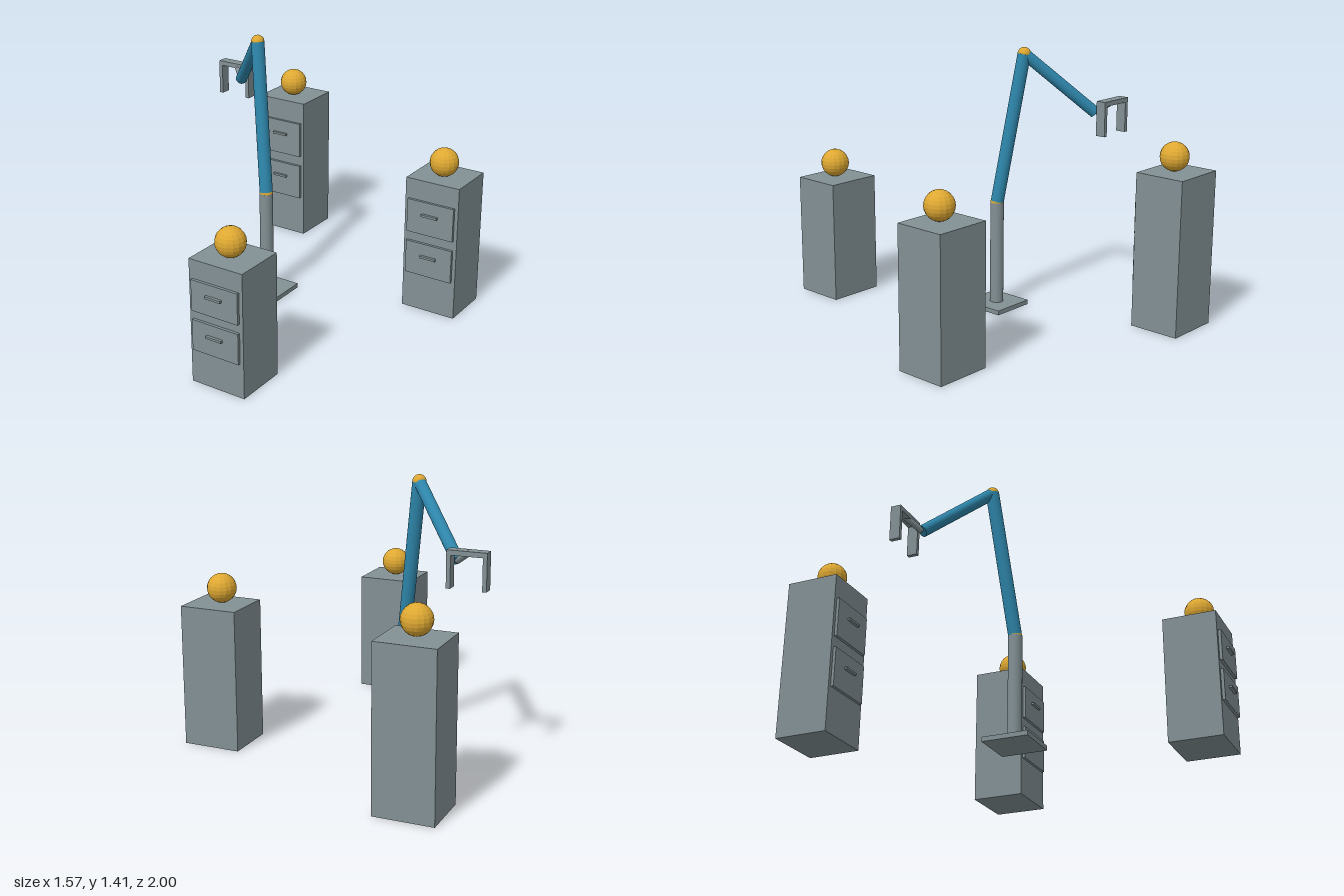
import * as THREE from 'three';

const steel = new THREE.MeshStandardMaterial({ name: 'steelGrey', color: 0x829094 });
const blue = new THREE.MeshStandardMaterial({ name: 'armBlue', color: 0x2e86ab });
const amber = new THREE.MeshStandardMaterial({ name: 'amber', color: 0xdea832 });

function add(parent, name, geometry, material, x = 0, y = 0, z = 0) {
  const mesh = new THREE.Mesh(geometry, material);
  mesh.name = name;
  mesh.position.set(x, y, z);
  parent.add(mesh);
  return mesh;
}

const box = (w, h, d) => new THREE.BoxGeometry(w, h, d);

// Faceted ball with hard-edged panels
function ball(radius) {
  const g = new THREE.SphereGeometry(radius, 16, 12).toNonIndexed();
  g.computeVertexNormals();
  return g;
}

// Cylinder running from one point to another
function rod(parent, name, from, to, radius, material) {
  const dir = to.clone().sub(from);
  const mesh = add(parent, name, new THREE.CylinderGeometry(radius, radius, dir.length(), 24), material);
  mesh.position.copy(from).addScaledVector(dir, 0.5);
  mesh.quaternion.setFromUnitVectors(new THREE.Vector3(0, 1, 0), dir.normalize());
  return mesh;
}

// Two-drawer cabinet with a ball resting on top
function cabinet(x, z, height) {
  const group = new THREE.Group();
  group.name = 'cabinet';
  group.position.set(x, 0, z);
  add(group, 'cabinetBody', box(0.305, height, 0.275), steel, 0, height / 2, -0.0145);
  for (const level of [0.726, 0.406]) {
    add(group, 'drawerFront', box(0.266, 0.248 * height, 0.015), steel, 0, level * height, 0.1305);
    add(group, 'drawerHandle', box(0.09, 0.012, 0.015), steel, 0, (level + 0.027) * height, 0.1455);
  }
  add(group, 'ball', ball(0.076), amber, 0, height + 0.076, 0);
  return group;
}

// Jointed arm on a post, ending in a two-finger gripper
function robotArm() {
  const arm = new THREE.Group();
  arm.name = 'robotArm';
  const foot = new THREE.Vector3(-0.216, 0.024, 0);
  const shoulder = new THREE.Vector3(-0.216, 0.58, 0);
  const elbow = new THREE.Vector3(-0.322, 1.374, -0.088);
  const wrist = new THREE.Vector3(-0.613, 1.055, -0.335);
  const grip = new THREE.Vector3(-0.687, 1.11, -0.393);

  add(arm, 'basePlate', box(0.24, 0.024, 0.24), steel, foot.x, 0.012, 0);
  rod(arm, 'post', foot, shoulder, 0.036, steel);
  add(arm, 'shoulderJoint', ball(0.036), amber, ...shoulder.toArray());
  rod(arm, 'upperArm', shoulder, elbow, 0.035, blue);
  add(arm, 'elbowJoint', ball(0.035), amber, ...elbow.toArray());
  rod(arm, 'forearm', elbow, wrist, 0.031, blue);
  rod(arm, 'wristLink', wrist, grip, 0.016, steel);

  const gripper = new THREE.Group();
  gripper.name = 'gripper';
  gripper.position.copy(grip);
  add(gripper, 'gripperBar', box(0.2, 0.025, 0.055), steel);
  for (const side of [-1, 1]) {
    add(gripper, 'gripperFinger', box(0.021, 0.161, 0.055), steel, side * 0.0895, -0.093, 0);
  }
  arm.add(gripper);
  return arm;
}

export function createModel() {
  const model = new THREE.Group();
  model.name = 'armWithCabinets';
  model.add(
    robotArm(),
    cabinet(-0.61, -0.848, 0.823),
    cabinet(0.18, 0.847, 0.651),
    cabinet(0.63, -0.395, 0.735),
  );
  return model;
}
